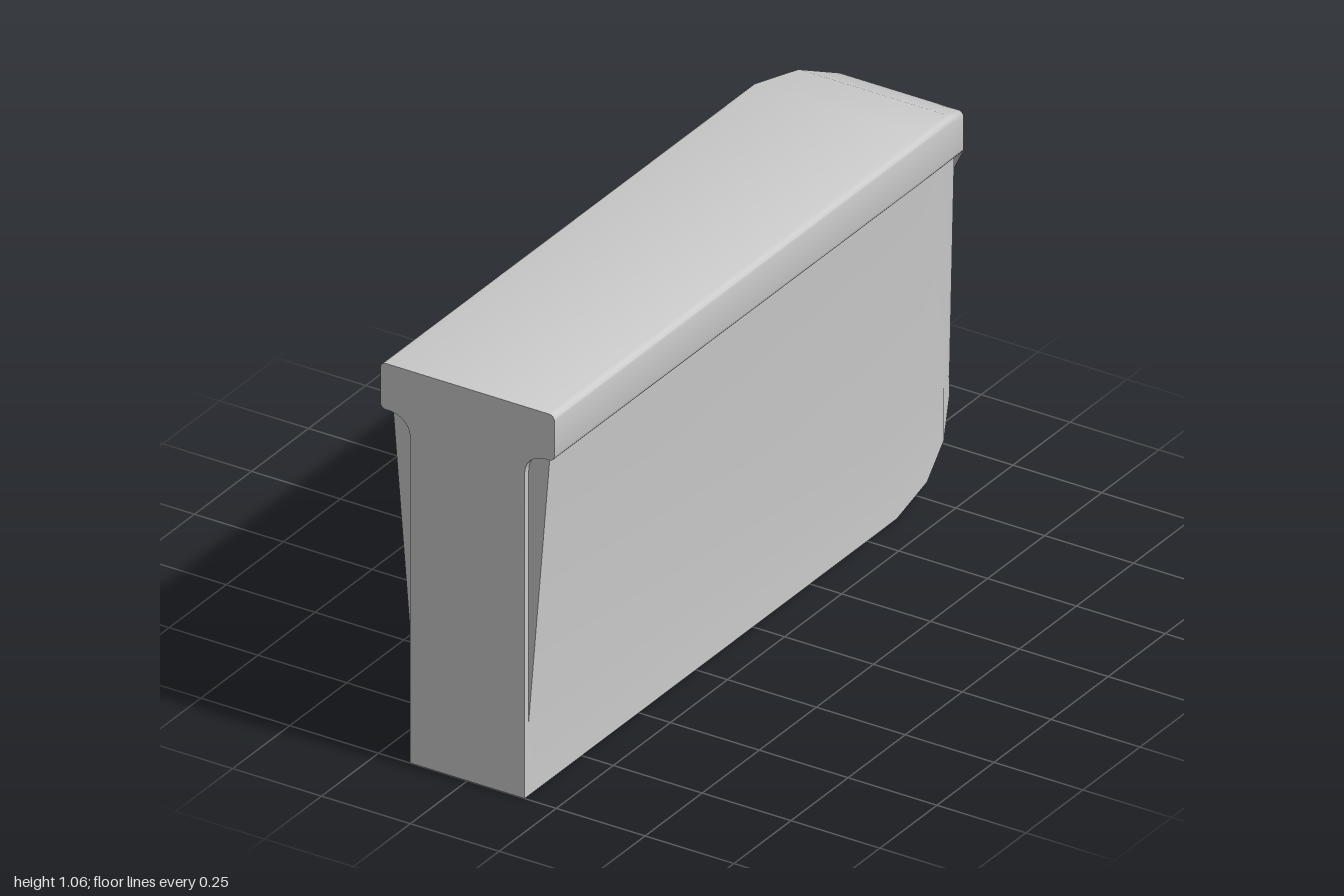
import * as THREE from 'three';
import { toCreasedNormals } from 'three/addons/utils/BufferGeometryUtils.js';

const material = new THREE.MeshStandardMaterial({ color: 0xcccccc });

// Skin a row of equal-length outlines (counter-clockwise seen from +z, ordered front to back).
function loft(name, sections) {
  const pos = [], idx = [], n = sections[0].pts.length;
  for (const { z, pts } of sections) for (const [x, y] of pts) pos.push(x, y, z);
  for (let s = 0; s < sections.length - 1; s++) {
    for (let i = 0; i < n; i++) {
      const a = s * n + i, b = s * n + (i + 1) % n;
      idx.push(a, a + n, b, b, a + n, b + n);
    }
  }
  // end caps
  [0, sections.length - 1].forEach((s, end) => {
    const ys = sections[s].pts.map(p => p[1]);
    const c = pos.length / 3;
    pos.push(0, (Math.min(...ys) + Math.max(...ys)) / 2, sections[s].z);
    for (let i = 0; i < n; i++) {
      const a = s * n + i, b = s * n + (i + 1) % n;
      if (end) idx.push(c, b, a); else idx.push(c, a, b);
    }
  });
  const geo = new THREE.BufferGeometry();
  geo.setAttribute('position', new THREE.Float32BufferAttribute(pos, 3));
  geo.setIndex(idx);
  const mesh = new THREE.Mesh(toCreasedNormals(geo, 0.55), material);
  mesh.name = name;
  return mesh;
}

// Rectangle outline with rounded corners.
function roundedOutline(w, y0, y1, r) {
  const pts = [], steps = 4;
  [[1, y0 + r, -1], [1, y1 - r, 0], [-1, y1 - r, 1], [-1, y0 + r, 2]].forEach(([sx, cy, q]) => {
    for (let i = 0; i <= steps; i++) {
      const a = (q + i / steps) * Math.PI / 2;
      pts.push([sx * (w - r) + r * Math.cos(a), cy + r * Math.sin(a)]);
    }
  });
  return pts;
}

// Outline symmetric in x, given its right half from bottom to top.
const mirrored = half => [...half, ...half.map(([x, y]) => [-x, y]).reverse()];

export function createModel() {
  const group = new THREE.Group();

  // Rim: z, half width, underside, top
  const rim = [
    [1, 0.245, 0.935, 1.06],
    [-0.63, 0.245, 0.935, 1.06],
    [-0.78, 0.222, 0.913, 1.035],
    [-0.89, 0.182, 0.873, 0.987],
    [-0.965, 0.132, 0.815, 0.91],
    [-1, 0.084, 0.74, 0.82],
  ];
  group.add(loft('rim', rim.map(([z, w, y0, y1]) => ({ z, pts: roundedOutline(w, y0, y1, 0.015) }))));

  // Body: z, lower half width, upper half width, bottom, top (hidden inside the rim)
  const body = [
    [0.982, 0.161, 0.222, 0, 0.95],
    [-0.63, 0.161, 0.222, 0, 0.95],
    [-0.78, 0.15, 0.198, 0.027, 0.93],
    [-0.89, 0.126, 0.156, 0.08, 0.89],
    [-0.965, 0.094, 0.108, 0.16, 0.83],
    [-0.988, 0.072, 0.076, 0.212, 0.78],
  ];
  group.add(loft('body', body.map(([z, w0, w1, y0, y1]) => ({
    z, pts: mirrored([[w0, y0], [w0, Math.max(0.2, y0 + 0.06)], [w1, y1]]),
  }))));

  // Small lip below the rear panel
  const lip = [[-0.965, 0.094, 0.16], [-1, 0.064, 0.235]];
  group.add(loft('rearLip', lip.map(([z, w, y]) => ({ z, pts: mirrored([[w, y], [w, 0.245]]) }))));

  // Front plate flaring out under the rim
  const s = new THREE.Shape();
  s.moveTo(-0.161, 0);
  s.lineTo(0.161, 0);
  s.lineTo(0.161, 0.88);
  s.quadraticCurveTo(0.163, 0.93, 0.222, 0.936);
  s.lineTo(-0.222, 0.936);
  s.quadraticCurveTo(-0.163, 0.93, -0.161, 0.88);
  s.closePath();
  const plateGeo = new THREE.ExtrudeGeometry(s, { depth: 0.03, bevelEnabled: false, curveSegments: 8 });
  const plate = new THREE.Mesh(toCreasedNormals(plateGeo.translate(0, 0, 0.97), 0.55), material);
  plate.name = 'frontPlate';
  group.add(plate);

  return group;
}
